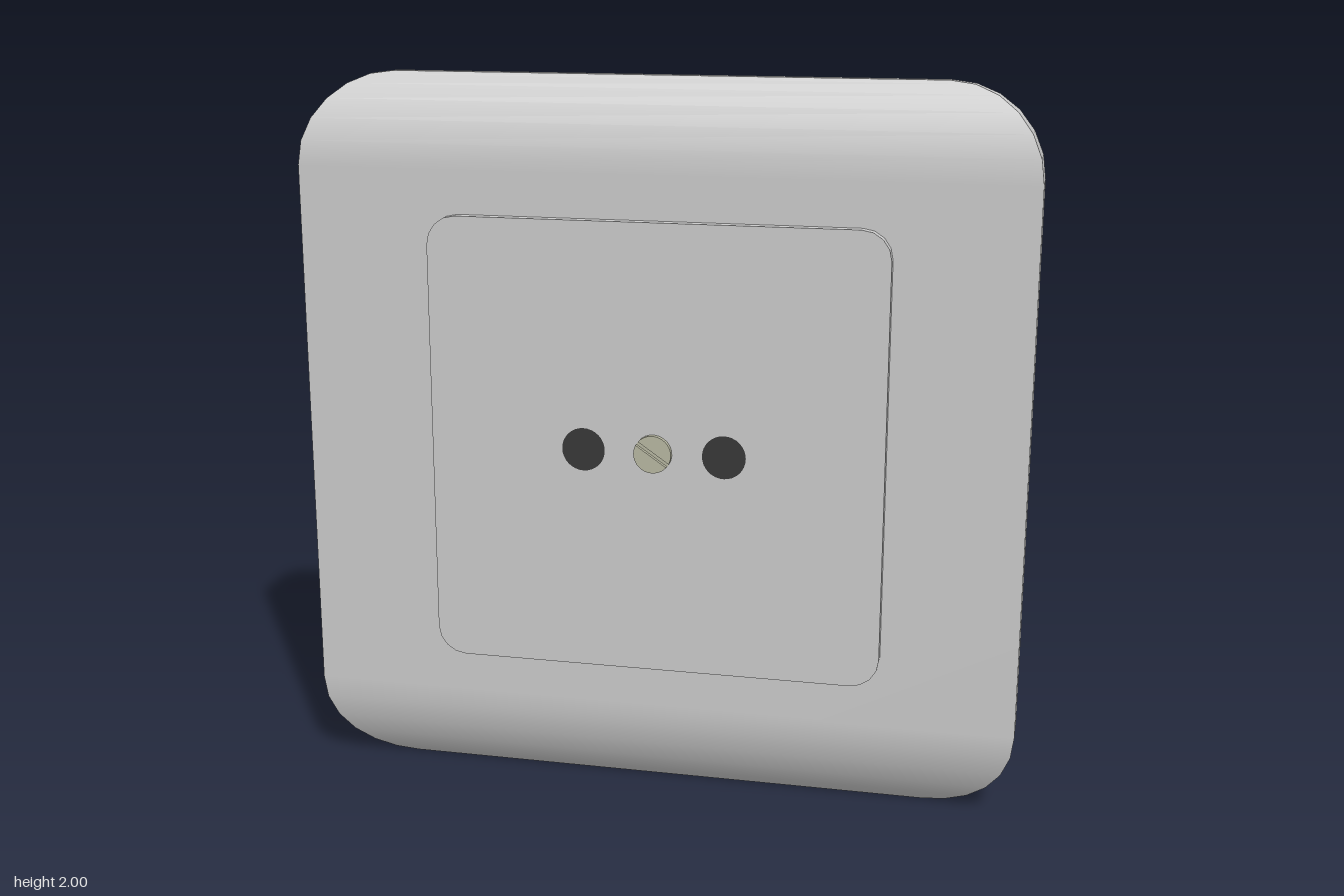
import * as THREE from 'three';

const grey = new THREE.MeshStandardMaterial({ color: 0xcccccc });
const dark = new THREE.MeshStandardMaterial({ color: 0x383838 });
const metal = new THREE.MeshStandardMaterial({ color: 0xb8b8a2 });

const BACK = -0.085, FRONT = 0.04, EDGE = -0.053; // depths of the frame
const RADIUS = 0.25, STEPS = 6;                   // corner rounding of the frame
const FACE = 0.07;                                // front of the centre panel

function add(parent, name, geometry, material, x = 0, y = 0, z = 0) {
  const mesh = new THREE.Mesh(geometry, material);
  mesh.name = name;
  mesh.position.set(x, y, z);
  parent.add(mesh);
  return mesh;
}

// Indexed grid of points with smooth normals
function strip(points, quads) {
  const geometry = new THREE.BufferGeometry().setFromPoints(points);
  geometry.setIndex(quads.flatMap(([a, b, c, d]) => [a, b, c, a, c, d]));
  geometry.computeVertexNormals();
  return geometry;
}

// Front depth of the frame: flat in the middle, an arc falling to top and bottom
function frontDepth(y) {
  const drop = FRONT - EDGE;
  const r = (RADIUS * RADIUS + drop * drop) / (2 * drop);
  const d = Math.max(0, Math.abs(y) - (1 - RADIUS));
  return FRONT - r + Math.sqrt(r * r - d * d);
}

function roundedSquare(half, radius) {
  const s = new THREE.Shape(), c = half - radius;
  s.absarc(c, c, radius, 0, Math.PI / 2);
  s.absarc(-c, c, radius, Math.PI / 2, Math.PI);
  s.absarc(-c, -c, radius, Math.PI, Math.PI * 1.5);
  s.absarc(c, -c, radius, Math.PI * 1.5, Math.PI * 2);
  s.closePath();
  return s;
}

function buildFrame() {
  const frame = new THREE.Group();
  frame.name = 'frame';
  const c = 1 - RADIUS;

  // Right-hand outline from bottom to top
  const half = [];
  for (const side of [-1, 1]) {
    for (let i = 0; i <= STEPS; i++) {
      const a = (side < 0 ? i - STEPS : i) / STEPS * Math.PI / 2;
      half.push(new THREE.Vector2(c + RADIUS * Math.cos(a), side * c + RADIUS * Math.sin(a)));
    }
  }

  // Front: rows running across between the two outlines
  const rows = half.flatMap(p => [-p.x, p.x].map(x => new THREE.Vector3(x, p.y, frontDepth(p.y))));
  const rowQuads = half.slice(1).map((_, i) => [2 * i, 2 * i + 1, 2 * i + 3, 2 * i + 2]);
  add(frame, 'frameFront', strip(rows, rowQuads), grey);

  // Rim: the whole outline joined from back to front
  const loop = [...half, ...half.map(p => new THREE.Vector2(-p.x, p.y)).reverse()];
  const rim = loop.flatMap(p => [BACK, frontDepth(p.y)].map(z => new THREE.Vector3(p.x, p.y, z)));
  const rimQuads = loop.map((_, i) => {
    const j = (i + 1) % loop.length;
    return [2 * i, 2 * j, 2 * j + 1, 2 * i + 1];
  });
  add(frame, 'frameRim', strip(rim, rimQuads), grey);

  // Flat back
  const back = add(frame, 'frameBack', new THREE.ShapeGeometry(new THREE.Shape(loop)), grey, 0, 0, BACK);
  back.rotation.y = Math.PI;
  return frame;
}

function buildScrew() {
  const screw = new THREE.Group();
  screw.name = 'screw';
  const r = 0.052, gap = 0.006, t = Math.asin(gap / r);
  const segment = new THREE.Shape();
  segment.absarc(0, 0, r, t, Math.PI - t);
  segment.closePath();
  const geometry = new THREE.ExtrudeGeometry(segment, { depth: 0.013, bevelEnabled: false, curveSegments: 12 });

  // Head in two halves with the slot between them, over a thin disc
  for (const side of [0, 1]) {
    add(screw, 'screwHeadHalf', geometry, metal, 0, 0, 0.002).rotation.z = side * Math.PI;
  }
  const base = new THREE.CylinderGeometry(r, r, 0.006, 24).rotateX(Math.PI / 2);
  add(screw, 'screwBase', base, metal);
  screw.position.z = FACE;
  screw.rotation.z = -0.6;
  return screw;
}

export function createModel() {
  const model = new THREE.Group();
  model.name = 'wallSocket';
  model.add(buildFrame());

  // Raised centre panel
  const panel = new THREE.ExtrudeGeometry(roundedSquare(0.628, 0.08), {
    depth: FACE - FRONT + 0.02, bevelEnabled: false, curveSegments: 2,
  });
  add(model, 'centrePanel', panel, grey, 0, 0, FRONT - 0.02);

  // Pin holes
  for (const side of [-1, 1]) {
    add(model, side > 0 ? 'leftPinHole' : 'rightPinHole',
      new THREE.CircleGeometry(0.06, 32), dark, side * 0.195, 0, FACE + 0.001);
  }

  model.add(buildScrew());
  model.children.forEach(part => { part.position.y += 1; });
  return model;
}
